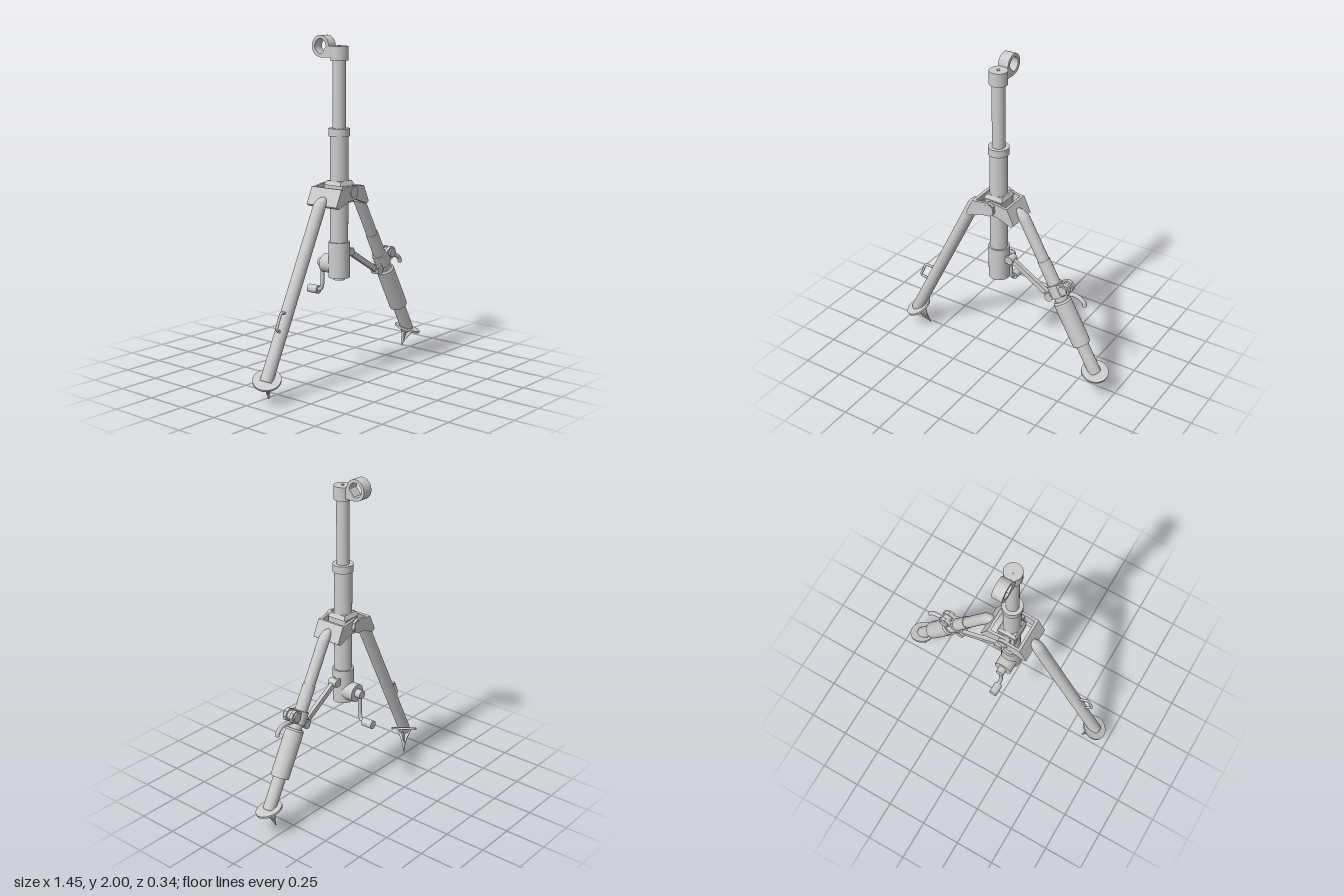
import * as THREE from 'three';

const mat = new THREE.MeshStandardMaterial({ color: 0xcccccc, side: THREE.DoubleSide });
const V = (x, y, z) => new THREE.Vector3(x, y, z);
const UP = V(0, 1, 0);
const X0 = -0.03, Z0 = 0.06; // column axis

function add(parent, name, geo, x = 0, y = 0, z = 0) {
  const m = new THREE.Mesh(geo, mat);
  m.name = name;
  m.position.set(x, y, z);
  parent.add(m);
  return m;
}

// Cylinder between two points
function rod(parent, name, a, b, r, r2 = r) {
  const d = b.clone().sub(a);
  const m = add(parent, name, new THREE.CylinderGeometry(r2, r, d.length(), 32));
  m.position.copy(a).addScaledVector(d, 0.5);
  m.quaternion.setFromUnitVectors(UP, d.normalize());
  return m;
}

// Upright cylinder from y0 to y1
const post = (p, name, x, z, y0, y1, r, r2 = r) => rod(p, name, V(x, y0, z), V(x, y1, z), r, r2);

// Bent wire or bar through points
function tube(parent, name, pts, r) {
  return add(parent, name, new THREE.TubeGeometry(new THREE.CatmullRomCurve3(pts, false, 'catmullrom', 0.3), 40, r, 12));
}

// Flat plate centred on z = 0
function plate(shape, depth) {
  return new THREE.ExtrudeGeometry(shape, { depth, bevelEnabled: false, curveSegments: 24 }).translate(0, 0, -depth / 2);
}
const poly = (pts) => new THREE.Shape(pts.map(([x, y]) => new THREE.Vector2(x, y)));

// Leg tube whose rounded top is pulled towards the column
function legTube(parent, y0, y1, r, inner) {
  const dome = 0.085, pts = [[0, y0], [r, y0], [r, y1]].map(([x, y]) => new THREE.Vector2(x, y));
  for (let i = 1; i <= 8; i++) {
    const a = (i / 8) * Math.PI / 2;
    pts.push(new THREE.Vector2(r * Math.cos(a), y1 + dome * Math.sin(a)));
  }
  const geo = new THREE.LatheGeometry(pts, 32), p = geo.attributes.position;
  for (let i = 0; i < p.count; i++) {
    const t = Math.max(0, (p.getY(i) - y1) / dome);
    p.setX(i, p.getX(i) + inner * r * (1 - Math.sqrt(Math.max(0, 1 - t * t))));
  }
  geo.computeVertexNormals();
  return add(parent, 'legTube', geo);
}

// Tilted disc with a crossed, concave spike below
function foot(parent, name, x, y, normal, spike) {
  const g = new THREE.Group();
  g.name = name;
  g.position.set(x, y, Z0);
  g.quaternion.setFromUnitVectors(V(0, -1, 0), normal.normalize());
  add(g, 'footDisc', new THREE.CylinderGeometry(0.081, 0.081, 0.012, 40));
  const s = new THREE.Shape();
  s.moveTo(-0.055, 0);
  s.quadraticCurveTo(-0.014, -spike * 0.4, 0, -spike);
  s.quadraticCurveTo(0.014, -spike * 0.4, 0.055, 0);
  for (const a of [0.3, 0.3 + Math.PI / 2]) add(g, 'footSpike', plate(s, 0.01)).rotation.y = a;
  parent.add(g);
}

// U-shaped yoke joining a leg to the pivot; s is the side, half its half-width
function yoke(parent, name, s, half) {
  const g = new THREE.Group();
  g.name = name;
  g.position.set(X0, 0, Z0);
  const arm = poly([[-0.035, 1.1], [-0.03, 1.14], [0, 1.155], [0.04, 1.15], [0.1, 1.14],
    [0.155, 1.045], [0.135, 1.032], [0.05, 1.065], [0, 1.07], [-0.025, 1.082]].map(([x, y]) => [x * s, y]));
  for (const k of [-1, 1]) add(g, 'yokeArm', plate(arm, 0.016), 0, 0, k * (half - 0.008));
  const web = poly([[0.095, 1.14], [0.112, 1.142], [0.157, 1.045], [0.138, 1.032]].map(([x, y]) => [x * s, y]));
  add(g, 'yokeWeb', plate(web, half * 2));
  parent.add(g);
}

export function createModel() {
  const root = new THREE.Group();
  root.name = 'stand';

  // Telescoping column
  const column = new THREE.Group();
  column.name = 'column';
  root.add(column);
  [['lowerCollar', 0.605, 0.815, 0.063], ['outerTube', 0.8, 1.45, 0.053], ['middleCollar', 1.43, 1.475, 0.061],
    ['innerTube', 1.47, 1.88, 0.038], ['topCap', 1.86, 1.94, 0.053], ['capPin', 1.94, 1.944, 0.01],
    ['bottomPlug', 0.59, 0.61, 0.035]].forEach(([n, a, b, r]) => post(column, n, X0, Z0, a, b, r));

  // Ring on the back of the cap
  const ring = new THREE.Shape().absarc(0, 0, 0.062, 0, Math.PI * 2);
  ring.holes.push(new THREE.Path().absarc(0, 0, 0.042, 0, Math.PI * 2, true));
  add(column, 'topRing', plate(ring, 0.064), X0 - 0.003, 1.938, -0.052).rotation.y = Math.PI / 2;
  const neck = poly([[-0.03, 1.874], [0.052, 1.874], [0.043, 1.895], [0.008, 1.94], [-0.03, 1.94]]);
  add(column, 'ringNeck', plate(neck, 0.064), X0 - 0.003, 0, 0.0).rotation.y = Math.PI / 2;

  // Trunnion block and pivot pin
  add(column, 'trunnionBlock', new THREE.BoxGeometry(0.106, 0.1, 0.135), X0, 1.1, Z0);
  const taper = new THREE.CylinderGeometry(0.072, 0.09, 0.025, 4, 1).rotateY(Math.PI / 4).toNonIndexed();
  taper.computeVertexNormals();
  add(column, 'trunnionTop', taper, X0, 1.162, Z0);
  rod(column, 'pivotPin', V(X0, 1.115, Z0 - 0.115), V(X0, 1.115, Z0 + 0.115), 0.031);
  yoke(root, 'rightYoke', -1, 0.111);
  yoke(root, 'leftYoke', 1, 0.093);

  // Crank on the back of the lower collar
  const crank = new THREE.Group();
  crank.name = 'crank';
  root.add(crank);
  rod(crank, 'gearHousing', V(X0, 0.675, 0.03), V(X0, 0.675, -0.048), 0.055);
  rod(crank, 'crankShaft', V(X0, 0.677, -0.04), V(X0, 0.677, -0.086), 0.026);
  tube(crank, 'crankArm', [V(X0, 0.68, -0.068), V(X0, 0.65, -0.068), V(X0, 0.55, -0.069), V(X0, 0.515, -0.078), V(X0, 0.503, -0.105)], 0.012);
  rod(crank, 'crankGrip', V(X0, 0.503, -0.098), V(X0, 0.503, -0.17), 0.025);

  // Plain leg with carrying handle
  const plain = new THREE.Group();
  plain.name = 'rightLeg';
  plain.position.set(-0.65, 0.13, Z0);
  plain.rotation.z = -0.455;
  root.add(plain);
  legTube(plain, -0.01, 1.0, 0.037, 1);
  tube(root, 'carryHandle', [V(-0.51, 0.485, 0.07), V(-0.548, 0.497, 0.082), V(-0.562, 0.488, 0.085),
    V(-0.592, 0.42, 0.085), V(-0.588, 0.405, 0.083), V(-0.55, 0.387, 0.07)], 0.008);
  foot(root, 'rightFoot', -0.648, 0.13, V(0.4, -0.9, -0.3), 0.149);

  // Telescoping leg with sleeve and clamp
  const tele = new THREE.Group();
  tele.name = 'leftLeg';
  tele.position.set(0.635, 0.16, Z0);
  tele.rotation.z = 0.502;
  root.add(tele);
  legTube(tele, 0.4, 1.01, 0.034, -1);
  post(tele, 'lowerTube', 0, 0, -0.01, 0.75, 0.038);
  post(tele, 'sleeve', 0, 0, 0.19, 0.475, 0.055);
  post(tele, 'sleeveShoulder', 0, 0, 0.475, 0.485, 0.055, 0.046);
  post(tele, 'clampBand', 0, 0, 0.515, 0.595, 0.048);
  const ear = poly([[0.03, 0.52], [0.085, 0.52], [0.105, 0.54], [0.105, 0.57], [0.085, 0.592], [0.03, 0.592]]);
  for (const k of [-1, 1]) {
    add(tele, 'clampEar', plate(ear, 0.022), 0, 0, k * 0.024);
    add(tele, 'braceLug', new THREE.BoxGeometry(0.05, 0.045, 0.012), -0.06, 0.53, k * 0.021);
  }
  rod(tele, 'clampBolt', V(0.068, 0.556, -0.045), V(0.068, 0.556, 0.045), 0.028);
  const lever = tube(root, 'clampLever', [V(0.43, 0.64, 0), V(0.48, 0.65, 0), V(0.52, 0.643, 0), V(0.547, 0.622, 0), V(0.556, 0.597, 0)], 0.013);
  lever.position.z = Z0;
  foot(root, 'leftFoot', 0.64, 0.155, V(-0.22, -0.93, -0.2), 0.118);

  // Brace from column to clamp
  const brace = new THREE.Group();
  brace.name = 'brace';
  brace.position.z = Z0;
  root.add(brace);
  const a = V(0.055, 0.745, 0), b = V(0.325, 0.583, 0), d = b.clone().sub(a);
  const bar = add(brace, 'braceBar', new THREE.BoxGeometry(d.length(), 0.032, 0.024));
  bar.position.copy(a).addScaledVector(d, 0.5);
  bar.rotation.z = Math.atan2(d.y, d.x);
  for (const p of [a, b]) rod(brace, 'bracePivot', V(p.x, p.y, -0.028), V(p.x, p.y, 0.028), 0.024);
  for (const k of [-1, 1]) add(brace, 'columnLug', new THREE.BoxGeometry(0.05, 0.045, 0.012), 0.033, 0.745, k * 0.02);

  return root;
}
